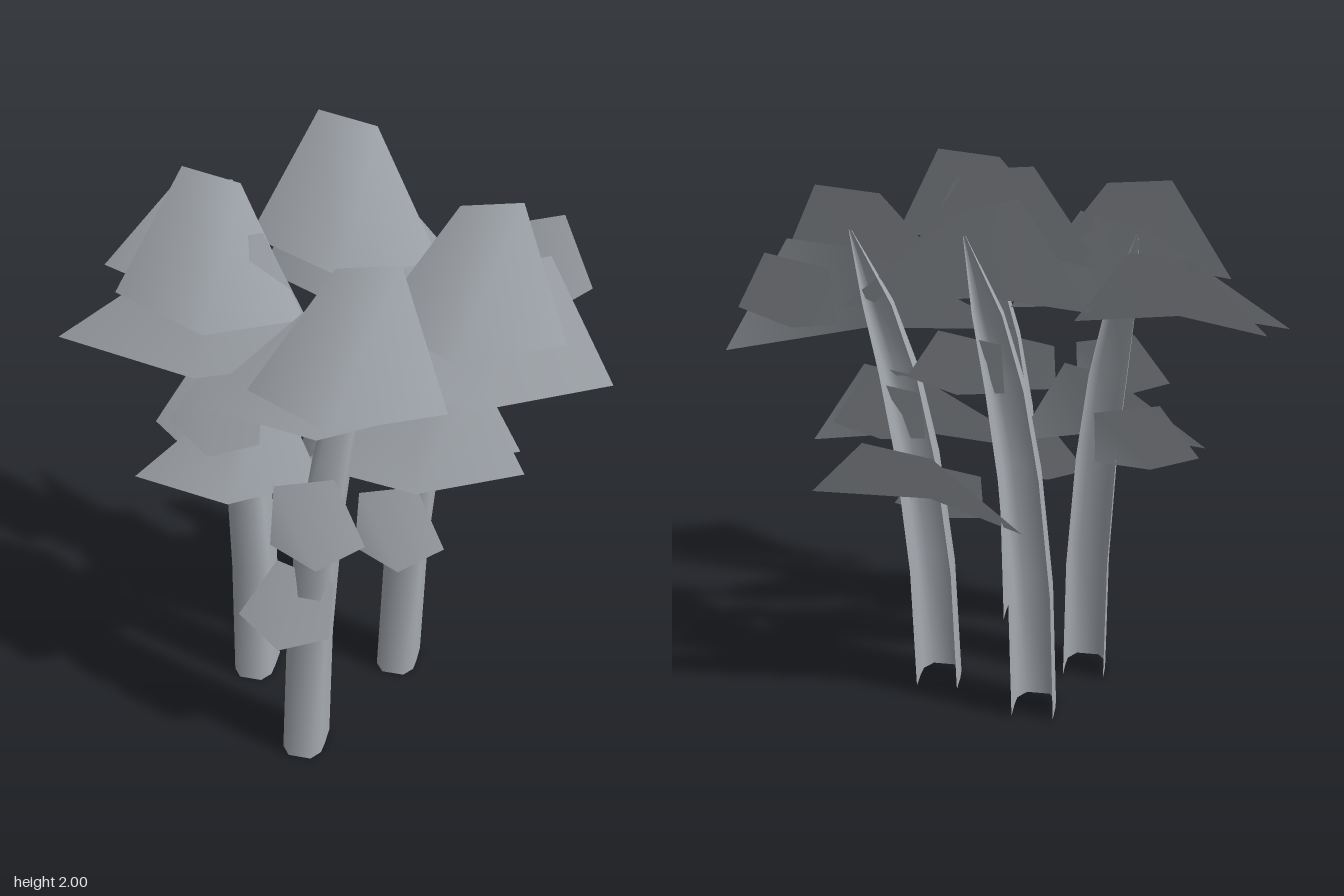
import * as THREE from 'three';

const grey = new THREE.MeshStandardMaterial({ color: 0xa6abb1, side: THREE.DoubleSide });
grey.name = 'pale grey';

function buildMesh(name, positions, index) {
  const geo = new THREE.BufferGeometry();
  geo.setAttribute('position', new THREE.Float32BufferAttribute(positions, 3));
  geo.setIndex(index);
  geo.computeVertexNormals();
  const mesh = new THREE.Mesh(geo, grey);
  mesh.name = name;
  return mesh;
}

// Trunk: a channel open at the back, bending backwards and narrowing to a tip.
// Each station: height share, half width, front z, back z (from the base's back edge)
const STATIONS = [
  [0, 0.07, 0.15, 0],
  [0.27, 0.069, 0.11, -0.025],
  [0.52, 0.065, 0.06, -0.06],
  [0.7, 0.06, 0, -0.09],
  [0.85, 0.046, -0.08, -0.135],
  [1, 0.004, -0.185, -0.19],
];
// Cross-section: x share, depth share (0 back, 1 front)
const HALF = [[0.55, 1], [0.95, 0.75], [1, 0.45], [1, 0]];
const SECTION = [...HALF.map(([x, d]) => [-x, d]).reverse(), ...HALF];

function trunk({ x, z, height, lean }) {
  const pos = [], idx = [], n = SECTION.length;
  STATIONS.forEach(([t, w, front, back], row) => {
    for (const [sx, d] of SECTION) {
      pos.push(x + lean * t ** 2.3 + sx * w, t * height, z + back + (front - back) * d);
    }
    if (row === 0) return;
    for (let i = 0; i < n - 1; i++) {
      const a = (row - 1) * n + i, b = a + n;
      idx.push(a, a + 1, b + 1, a, b + 1, b);
    }
  });
  return buildMesh('trunk', pos, idx);
}

// Leaf shapes: left, top left, top right and right corners, measured from the front tip
const SHAPES = {
  broad: [[-0.29, 0, -0.155], [-0.05, 0.37, -0.315], [0.145, 0.395, -0.335], [0.33, 0.015, -0.15]],
  wing: [[-0.41, 0, -0.09], [-0.03, 0.37, -0.24], [0.14, 0.43, -0.28], [0.335, 0.03, -0.19]],
  small: [[-0.145, 0.08, -0.06], [-0.03, 0.275, -0.13], [0.16, 0.23, -0.11], [0.16, 0.04, -0.05]],
};

// Leaf folded around its front tip (x, y, z); a negative width mirrors it.
// Turn swings its right side forward, roll lifts its right side.
function leaf([shape, x, y, z, width = 1, size = 1, turn = 0, roll = 0]) {
  const corners = SHAPES[shape].map(([sx, dy, dz]) => {
    const dx = sx * width;
    return [x + dx, y + dy * size + roll * dx, z + dz * size + turn * dx];
  });
  if (width < 0) corners.reverse();
  return buildMesh(shape + 'Leaf', [...corners.flat(), x, y, z], [4, 3, 2, 4, 2, 1, 4, 1, 0]);
}

const PLANTS = [
  {
    name: 'frontPlant', x: 0, z: 0.30, height: 1.66, lean: 0.15,
    leaves: [
      ['broad', 0.11, 1.44, 0.485],
      ['wing', 0.05, 1.33, 0.39],
      ['small', 0.06, 0.855, 0.45, -1],
      ['small', -0.065, 0.5, 0.465],
    ],
  },
  {
    name: 'rightPlant', x: -0.26, z: -0.03, height: 1.72, lean: -0.16,
    leaves: [
      ['broad', -0.37, 1.49, 0.15, -1],
      ['wing', -0.4, 1.33, 0.165, 1.2, 0.95, 0.08],
      ['wing', -0.3, 0.85, 0.185, 0.83, 0.82],
      ['small', -0.37, 1.01, 0.15],
      ['small', -0.47, 0.835, -0.04, 1.1, 1.1],
    ],
  },
  {
    name: 'leftPlant', x: 0.23, z: -0.17, height: 1.74, lean: 0.2,
    leaves: [
      ['broad', 0.41, 1.45, 0.065],
      ['wing', 0.48, 1.25, 0.03, 1.22, 1, -0.12, -0.08],
      ['wing', 0.3, 0.88, 0.03, 1, 0.8],
      ['small', 0.25, 0.545, 0.05, -1],
      ['small', 0.635, 1.395, -0.33, -1, 1.1],
      ['small', 0.42, 0.9, -0.08, -1],
    ],
  },
  {
    name: 'backPlant', x: -0.12, z: -0.30, height: 1.79, lean: 0.18,
    leaves: [
      ['broad', 0.01, 1.6, -0.105, -1],
      ['wing', 0.06, 1.45, -0.13, -1.05, 1, -0.12],
      ['broad', -0.55, 1.43, -0.14, 0.95, 0.76],
      ['small', 0.13, 1.17, -0.265, -1],
      ['broad', 0.23, 0.77, -0.225, 1.1, 0.75, 0, 0.13],
    ],
  },
];

export function createModel() {
  const model = new THREE.Group();
  model.name = 'plantCluster';
  for (const plant of PLANTS) {
    const group = new THREE.Group();
    group.name = plant.name;
    group.add(trunk(plant), ...plant.leaves.map(leaf));
    model.add(group);
  }
  return model;
}
